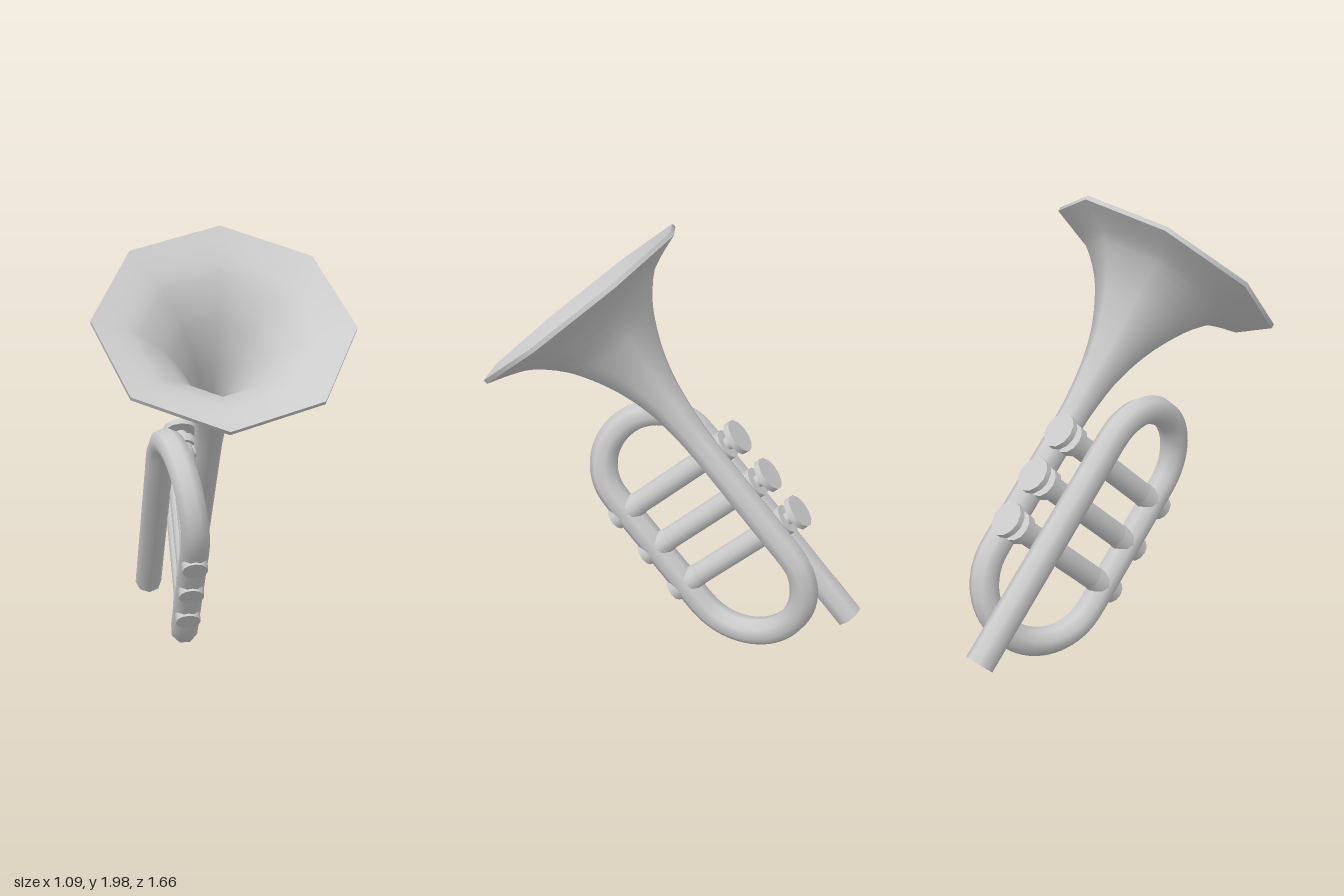
import * as THREE from 'three';

const material = new THREE.MeshStandardMaterial({ color: 0xcccccc, side: THREE.DoubleSide });
const SIDES = 8;
const R = 0.064;          // tube radius
const MAIN_Z = -0.018;    // main branch offset
const VALVE_X = -0.112, LEAD_X = -0.222;

function add(parent, name, geometry) {
  const mesh = new THREE.Mesh(geometry, material);
  mesh.name = name;
  parent.add(mesh);
  return mesh;
}

function lathe(points, sides = SIDES, start = 0) {
  return new THREE.LatheGeometry(points.map(([r, y]) => new THREE.Vector2(r, y)), sides, start);
}

// Cylinder running along local z between two depths
function rod(parent, name, x, y, z0, z1, r0, r1 = r0, sides = 12) {
  const g = new THREE.CylinderGeometry(r1, r0, z1 - z0, sides);
  g.rotateX(Math.PI / 2);
  g.translate(x, y, (z0 + z1) / 2);
  return add(parent, name, g);
}

// Flared octagonal bell: outer wall, rim edge and inner wall
function makeBell() {
  const bell = new THREE.Group();
  bell.name = 'bell';
  const flare = new THREE.CatmullRomCurve3([
    [0.064, -0.85], [0.068, -0.75], [0.085, -0.6], [0.107, -0.5], [0.14, -0.4],
    [0.187, -0.3], [0.25, -0.2], [0.352, -0.1], [0.43, -0.06], [0.545, -0.02],
  ].map(([r, y]) => new THREE.Vector3(r, y, 0))).getPoints(27);
  const outer = flare.map(p => [p.x, p.y]);
  const inner = outer.map(([r, y]) => [Math.max(r - 0.012 * (0.545 - r) / 0.4, 0.03), y + 0.02]).reverse();
  const parts = { bellOuter: outer, bellRim: [[0.545, -0.02], [0.545, 0]], bellInner: inner };
  for (const [name, profile] of Object.entries(parts)) {
    const g = lathe(profile, SIDES, -0.06);
    // ease the throat over to the main tube's axis
    const pos = g.attributes.position;
    for (let i = 0; i < pos.count; i++) {
      const k = Math.min(1, -pos.getY(i) / 0.6);
      pos.setZ(i, pos.getZ(i) + MAIN_Z * k);
    }
    add(bell, name, g);
  }
  return bell;
}

// One continuous path: main branch, lower bend, front branch, upper bend, lead pipe
function tubePath() {
  const pts = [];
  const v = (x, y, z) => pts.push(new THREE.Vector3(x, y, z));
  const straight = (x, z, y0, y1) => {
    for (let i = 0; i < 6; i++) v(x, y0 + (y1 - y0) * i / 6, z);
  };
  const bend = (x0, x1, y, z0, z1, dir) => {
    const c = (z0 + z1) / 2, r = (z1 - z0) / 2;
    for (let i = 0; i < 16; i++) {
      const t = i / 16, a = t * Math.PI;
      v(x0 + (x1 - x0) * t * t * (3 - 2 * t), y + dir * Math.abs(r) * Math.sin(a), c - r * Math.cos(a));
    }
  };
  straight(0, MAIN_Z, -0.75, -1.46);
  bend(0, VALVE_X, -1.46, MAIN_Z, 0.548, -1);
  straight(VALVE_X, 0.548, -1.46, -0.82);
  bend(VALVE_X, LEAD_X, -0.82, 0.548, 0.05, 1);
  straight(LEAD_X, 0.05, -0.82, -1.75);
  v(LEAD_X, -1.75, 0.05);
  return new THREE.CatmullRomCurve3(pts);
}

// Piston valve: casing, caps, stem, button and link to the main tube
function makeValve(y) {
  const valve = new THREE.Group();
  valve.name = 'valve';
  const x = VALVE_X;
  rod(valve, 'valveCasing', x, y, -0.04, 0.6, 0.053);
  rod(valve, 'valveTopCap', x, y, -0.07, -0.03, 0.07);
  rod(valve, 'valveCollar', x, y, 0.46, 0.52, 0.053, 0.06);
  rod(valve, 'valveBottomCap', x, y, 0.52, 0.618, 0.06, 0.056);
  rod(valve, 'valveStem', x, y, -0.12, -0.06, 0.03);
  rod(valve, 'valveButton', x, y, -0.141, -0.113, 0.08, 0.08);
  const link = new THREE.CylinderGeometry(0.032, 0.032, -x, SIDES);
  link.rotateZ(Math.PI / 2);
  link.translate(x / 2, y, MAIN_Z);
  add(valve, 'valveLink', link);
  return valve;
}

export function createModel() {
  const model = new THREE.Group();
  model.name = 'horn';

  // Everything is built upright along the bell axis, then tilted forward
  const body = new THREE.Group();
  body.name = 'body';
  body.rotation.x = 0.701;
  body.position.set(0, 1.65, 0.415);
  model.add(body);

  body.add(makeBell());
  add(body, 'tubing', new THREE.TubeGeometry(tubePath(), 150, R, SIDES));

  // Open end of the lead pipe: outer wall, lip and bore
  const end = new THREE.Group();
  end.name = 'leadPipeEnd';
  end.position.set(LEAD_X, 0, 0.05);
  add(end, 'pipeWall', lathe([[R, -1.92], [R, -1.74]]));
  add(end, 'pipeLip', lathe([[0.048, -1.92], [R, -1.92]]));
  add(end, 'pipeBore', lathe([[0, -1.76], [0.048, -1.76], [0.048, -1.92]]));
  body.add(end);

  for (let i = 0; i < 3; i++) body.add(makeValve(-0.905 - i * 0.218));
  return model;
}
